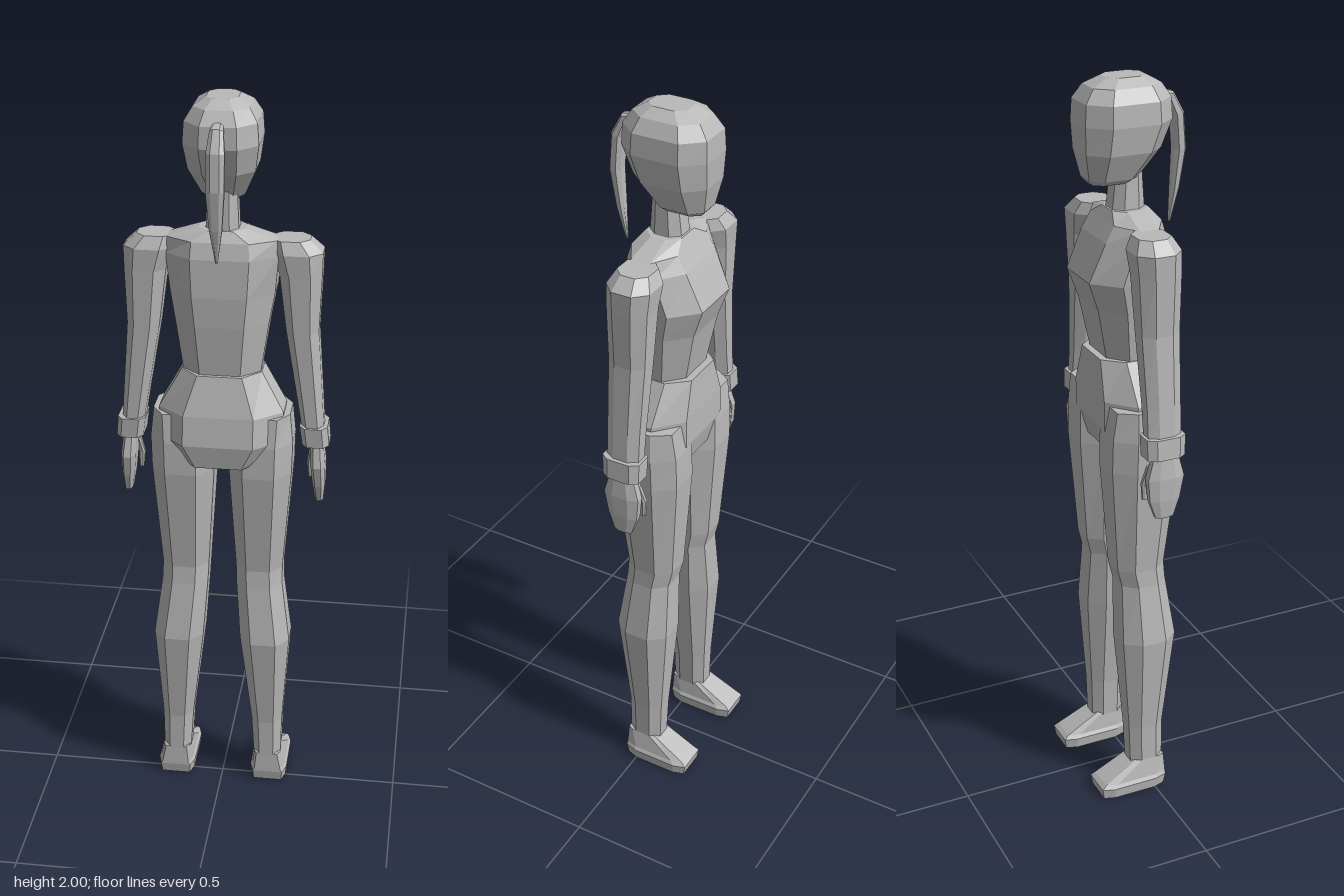
import * as THREE from 'three';

const clay = new THREE.MeshStandardMaterial({ color: 0xb8b8b8, flatShading: true });
clay.name = 'plain grey';

// Skins a stack of equal-length point loops (bottom to top) and caps both ends.
function skin(name, loops) {
  const pos = [];
  const tri = (...pts) => pts.forEach(p => pos.push(p.x, p.y, p.z));
  const n = loops[0].length;
  for (let i = 0; i < loops.length - 1; i++) {
    for (let j = 0; j < n; j++) {
      const k = (j + 1) % n, lo = loops[i], hi = loops[i + 1];
      tri(lo[j], hi[j], lo[k]);
      tri(lo[k], hi[j], hi[k]);
    }
  }
  const first = loops[0], last = loops[loops.length - 1];
  for (let j = 1; j < n - 1; j++) {
    tri(first[0], first[j], first[j + 1]);
    tri(last[0], last[j + 1], last[j]);
  }
  const geo = new THREE.BufferGeometry();
  geo.setAttribute('position', new THREE.Float32BufferAttribute(pos, 3));
  geo.computeVertexNormals();
  const mesh = new THREE.Mesh(geo, clay);
  mesh.name = name;
  return mesh;
}

// Unit octagon with adjustable flats, running from +x towards +z.
const octagon = (fx, fz) => [
  [1, -fz], [1, fz], [fx, 1], [-fx, 1], [-1, fz], [-1, -fz], [-fx, -1], [fx, -1],
];

// Horizontal chamfered sections: [y, xMin, xMax, zMin, zMax].
function limb(name, side, sections, fx = 0.5, fz = 0.45) {
  const loops = sections.map(([y, a, b, c, d]) => octagon(fx, fz).map(([u, v]) =>
    new THREE.Vector3(side * (a + b) / 2 + u * (b - a) / 2, y, (c + d) / 2 + v * (d - c) / 2)));
  return skin(name, loops);
}

// Symmetric sections: [y, halfWidth, zMin, zMax].
const core = (name, sections, fx, fz) =>
  limb(name, 1, sections.map(([y, w, c, d]) => [y, -w, w, c, d]), fx, fz);

// Tapered hanging tail: [y, z, halfWidth, halfThickness], tip to root.
function tail(name, stations) {
  const loops = stations.map(([y, z, w, t], i) => {
    const a = stations[Math.max(i - 1, 0)], b = stations[Math.min(i + 1, stations.length - 1)];
    const len = Math.hypot(b[0] - a[0], b[1] - a[1]);
    const uy = (b[0] - a[0]) / len, uz = (b[1] - a[1]) / len;
    return octagon(0.5, 0.5).map(([p, q]) =>
      new THREE.Vector3(p * w, y - uz * q * t, z + uy * q * t));
  });
  return skin(name, loops);
}

export function createModel() {
  const model = new THREE.Group();
  model.name = 'figure';

  // Head, neck and ponytail
  model.add(core('head', [
    [1.735, 0.035, -0.105, 0.0],
    [1.75, 0.055, -0.118, 0.018],
    [1.82, 0.085, -0.132, 0.072],
    [1.89, 0.095, -0.135, 0.1],
    [1.945, 0.091, -0.132, 0.097],
    [1.98, 0.07, -0.108, 0.075],
    [2.0, 0.04, -0.066, 0.04],
  ], 0.5, 0.55));
  model.add(core('neck', [
    [1.64, 0.05, -0.06, 0.045],
    [1.67, 0.042, -0.052, 0.036],
    [1.77, 0.038, -0.04, 0.03],
  ]));
  model.add(tail('ponytail', [
    [1.61, 0.116, 0.003, 0.003],
    [1.7, 0.13, 0.016, 0.011],
    [1.8, 0.141, 0.023, 0.016],
    [1.89, 0.134, 0.023, 0.016],
    [1.938, 0.113, 0.017, 0.012],
    [1.947, 0.08, 0.013, 0.01],
  ]));

  // Torso and hips
  model.add(core('torso', [
    [1.27, 0.1, -0.083, 0.06],
    [1.42, 0.122, -0.112, 0.073],
    [1.5, 0.136, -0.14, 0.076],
    [1.6, 0.145, -0.096, 0.072],
    [1.642, 0.14, -0.072, 0.06],
    [1.668, 0.06, -0.058, 0.042],
  ], 0.52, 0.4));
  model.add(core('hips', [
    [1.0, 0.025, -0.06, 0.03],
    [1.035, 0.11, -0.095, 0.1],
    [1.1, 0.165, -0.11, 0.111],
    [1.18, 0.165, -0.11, 0.1],
    [1.285, 0.105, -0.105, 0.072],
  ], 0.56, 0.4));

  for (const [side, label] of [[1, 'left'], [-1, 'right']]) {
    // Arm with cuff and hand
    model.add(limb(label + 'Arm', side, [
      [1.1, 0.215, 0.272, -0.062, 0.03],
      [1.21, 0.197, 0.264, -0.062, 0.032],
      [1.4, 0.165, 0.25, -0.068, 0.036],
      [1.55, 0.146, 0.255, -0.075, 0.04],
      [1.61, 0.125, 0.256, -0.08, 0.042],
      [1.642, 0.125, 0.222, -0.062, 0.026],
    ]));
    model.add(limb(label + 'Cuff', side, [
      [1.08, 0.213, 0.285, -0.07, 0.034],
      [1.135, 0.206, 0.28, -0.07, 0.038],
    ], 0.6, 0.6));
    model.add(limb(label + 'Hand', side, [
      [0.91, 0.25, 0.272, -0.045, 0.005],
      [0.96, 0.242, 0.276, -0.062, 0.022],
      [1.02, 0.236, 0.276, -0.066, 0.035],
      [1.09, 0.235, 0.268, -0.045, 0.018],
    ]));
    model.add(limb(label + 'Thumb', side, [
      [0.955, 0.226, 0.238, -0.068, -0.05],
      [1.0, 0.222, 0.24, -0.07, -0.046],
      [1.05, 0.23, 0.25, -0.058, -0.03],
    ]));

    // Leg and shoe
    model.add(limb(label + 'Leg', side, [
      [0.085, 0.092, 0.17, -0.062, 0.035],
      [0.2, 0.085, 0.172, -0.066, 0.036],
      [0.48, 0.052, 0.19, -0.085, 0.07],
      [0.65, 0.04, 0.167, -0.08, 0.048],
      [0.7, 0.038, 0.166, -0.092, 0.044],
      [1.0, 0.02, 0.188, -0.112, 0.08],
      [1.09, 0.02, 0.19, -0.11, 0.08],
      [1.17, 0.06, 0.182, -0.1, 0.07],
    ]));
    model.add(limb(label + 'Shoe', side, [
      [0, 0.085, 0.185, -0.155, 0.03],
      [0.03, 0.082, 0.188, -0.16, 0.036],
      [0.04, 0.088, 0.182, -0.148, 0.036],
      [0.092, 0.095, 0.17, -0.05, 0.035],
    ], 0.8, 0.65));
  }
  return model;
}
